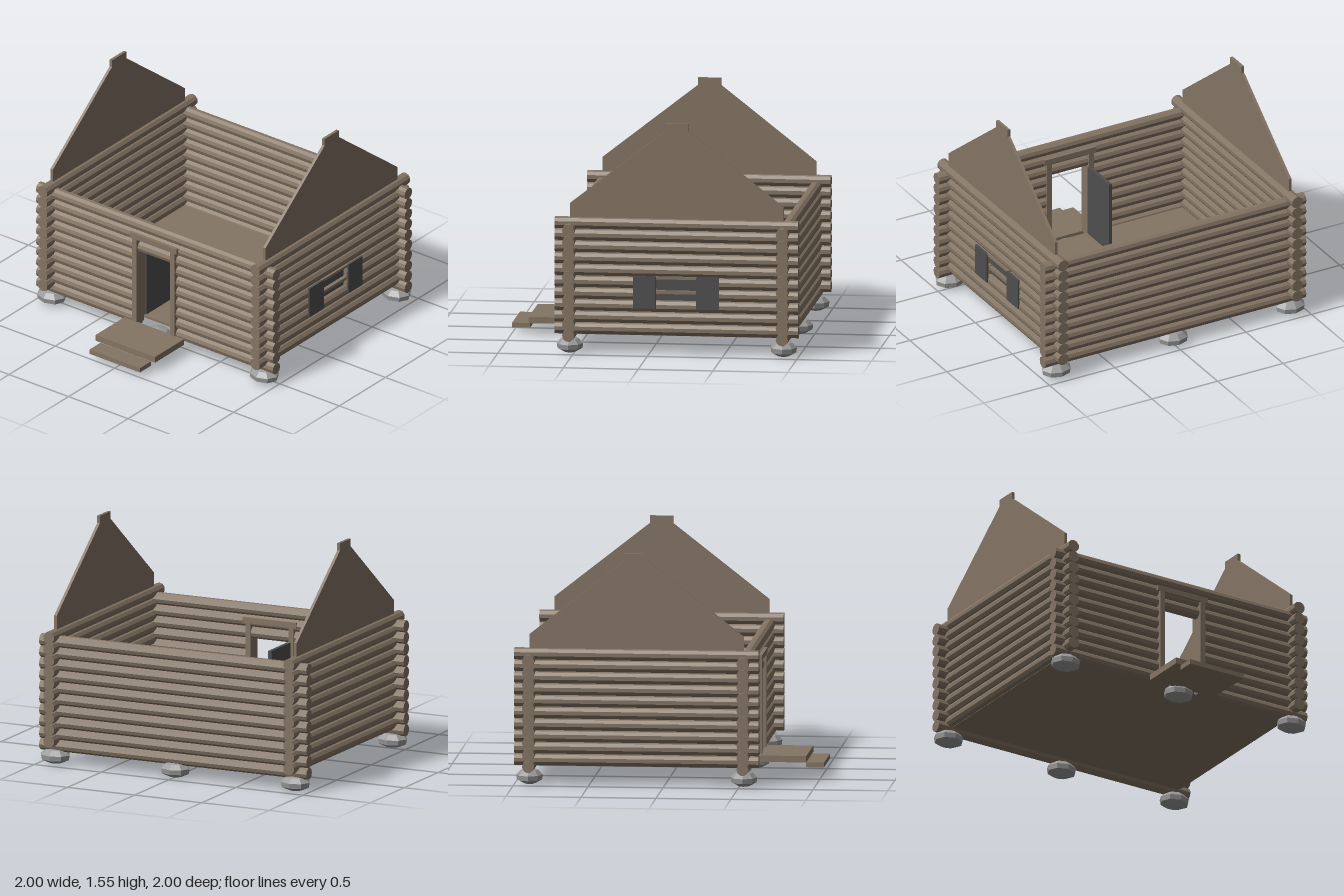
import * as THREE from 'three';

export function createModel() {
  const model = new THREE.Group();
  model.name = 'logCabin';
  const mat = (name, color) => {
    const m = new THREE.MeshStandardMaterial({ color, flatShading: true });
    m.name = name;
    return m;
  };
  const wood = mat('brown wood', 0x847564);
  const dark = mat('dark grey', 0x4f4f4f);
  const stone = mat('stone grey', 0x999999);

  const add = (name, geometry, material, parent = model) => {
    const mesh = new THREE.Mesh(geometry, material);
    mesh.name = name;
    parent.add(mesh);
    return mesh;
  };
  // Box given by its lower and upper limits on each axis
  const box = (name, material, x0, x1, y0, y1, z0, z1, parent) => {
    const g = new THREE.BoxGeometry(x1 - x0, y1 - y0, z1 - z0);
    g.translate((x0 + x1) / 2, (y0 + y1) / 2, (z0 + z1) / 2);
    return add(name, g, material, parent);
  };
  const wall = (name) => {
    const g = new THREE.Group();
    g.name = name;
    model.add(g);
    return g;
  };

  const R = 0.041, STEP = 0.0787, ROWS = 10;
  const SIDE_X = 0.893, FRONT_Z = 0.53, BACK_Z = -0.9;

  // One log along x or z from a to b; "at" is the position on the other axis
  const log = (parent, axis, a, b, y, at) => {
    const g = new THREE.CylinderGeometry(R, R, b - a, 10);
    if (axis === 'x') g.rotateZ(Math.PI / 2).translate((a + b) / 2, y, at);
    else g.rotateX(Math.PI / 2).translate(at, y, (a + b) / 2);
    add('log', g, wood, parent);
  };

  // Log walls, with the doorway and window cut out of the rows
  const front = wall('frontWall'), back = wall('backWall');
  const left = wall('leftWall'), right = wall('rightWall');
  for (let i = 0; i < ROWS; i++) {
    const yLow = 0.131 + i * STEP, yHigh = 0.171 + i * STEP;
    log(back, 'x', -0.995, 0.995, yLow, BACK_Z);
    if (i < 7) {
      log(front, 'x', -0.995, -0.145, yLow, FRONT_Z);
      log(front, 'x', 0.145, 0.995, yLow, FRONT_Z);
    } else log(front, 'x', -0.995, 0.995, yLow, FRONT_Z);
    log(right, 'z', -1, 0.63, yHigh, -SIDE_X);
    if (i === 3 || i === 4) {
      log(left, 'z', -1, -0.32, yHigh, SIDE_X);
      log(left, 'z', -0.05, 0.63, yHigh, SIDE_X);
    } else log(left, 'z', -1, 0.63, yHigh, SIDE_X);
  }

  // Gable boards
  const gable = new THREE.Shape([
    [0.53, 0.88], [0.53, 1.01], [-0.11, 1.51], [-0.11, 1.56],
    [-0.265, 1.56], [-0.265, 1.51], [-0.9, 1.01], [-0.9, 0.88],
  ].map(([z, y]) => new THREE.Vector2(-z, y)));
  for (const s of [-1, 1]) {
    const g = new THREE.ExtrudeGeometry(gable, { depth: 0.02, bevelEnabled: false });
    g.translate(0, 0, -0.01).rotateY(Math.PI / 2).translate(s * SIDE_X, 0, 0);
    add('gable', g, wood);
  }

  // Floor and entrance steps
  box('floor', wood, -0.89, 0.89, 0.128, 0.145, -0.9, 0.5);
  box('porchDeck', wood, -0.25, 0.25, 0.08, 0.123, 0.57, 0.885);
  box('lowerStep', wood, -0.212, 0.212, 0.043, 0.075, 0.88, 1);

  // Door frame and the door standing open inwards
  for (const s of [-1, 1]) {
    box('doorJamb', wood, s * 0.16 - 0.019, s * 0.16 + 0.019, 0.125, 0.75, 0.483, 0.583);
  }
  box('doorLintel', wood, -0.198, 0.198, 0.75, 0.787, 0.48, 0.585);
  box('door', dark, -0.157, -0.133, 0.145, 0.65, 0.2, 0.485);

  // Window with shutters
  box('windowPane', dark, 0.886, 0.898, 0.355, 0.53, -0.33, -0.04);
  box('windowBar', wood, 0.88, 0.925, 0.415, 0.436, -0.325, -0.045);
  box('windowHead', wood, 0.88, 0.935, 0.515, 0.533, -0.325, -0.045);
  box('shutter', dark, 0.928, 0.943, 0.317, 0.533, -0.05, 0.102);
  box('shutter', dark, 0.928, 0.943, 0.317, 0.533, -0.472, -0.32);

  // Foundation stones: squat faceted boulders
  const profile = [[0, 0.005], [0.045, 0.01], [0.1, 0.035], [0.106, 0.068], [0.07, 0.1], [0, 0.115]]
    .map(([r, y]) => new THREE.Vector2(r, y));
  for (const z of [FRONT_Z, BACK_Z]) {
    for (const x of [-SIDE_X, 0, SIDE_X]) {
      const g = new THREE.LatheGeometry(profile, 8);
      g.scale(1, 1, 0.84);
      add('foundationStone', g, stone).position.set(x, 0, z);
    }
  }
  return model;
}
